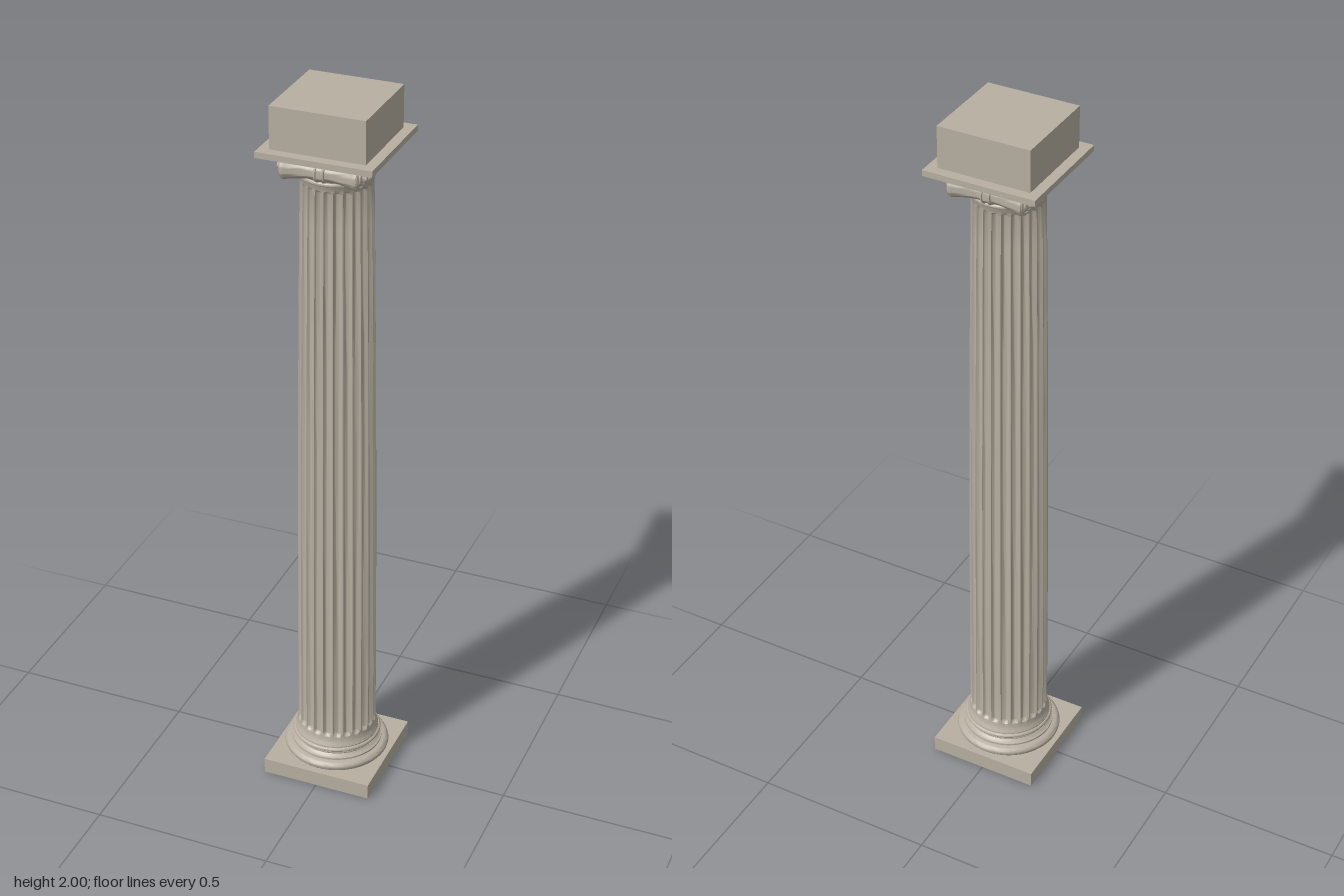
import * as THREE from 'three';
import { toCreasedNormals } from 'three/addons/utils/BufferGeometryUtils.js';

const stone = new THREE.MeshStandardMaterial({ color: 0xb7afa1 });
stone.name = 'stone';

function part(name, geometry, parent, x = 0, y = 0, z = 0) {
  const mesh = new THREE.Mesh(geometry, stone);
  mesh.name = name;
  mesh.position.set(x, y, z);
  parent.add(mesh);
  return mesh;
}

// Square slab standing on height y0
function slab(name, half, y0, y1, parent) {
  return part(name, new THREE.BoxGeometry(half * 2, y1 - y0, half * 2), parent, 0, (y0 + y1) / 2, 0);
}

// Turned solid from [radius, height] pairs
function turned(points, segments = 64) {
  const profile = points.map(([r, y]) => new THREE.Vector2(r, y));
  return toCreasedNormals(new THREE.LatheGeometry(profile, segments), 0.6);
}

// Half-round moulding as profile points
function roll(radius, y0, y1, bulge, steps = 8) {
  return Array.from({ length: steps + 1 }, (_, i) => {
    const a = Math.PI * i / steps;
    return [radius + bulge * Math.sin(a), (y0 + y1) / 2 - (y1 - y0) / 2 * Math.cos(a)];
  });
}

// Tapered shaft with round-ended flutes
function flutedShaft() {
  const flutes = 24, perFlute = 10, columns = flutes * perFlute;
  const low = 0.14, high = 1.785, halfWidth = 0.0108, depth = 0.0095;
  const rows = [0.112, 0.12, 0.13];
  const ends = [0, 0.15, 0.4, 0.7, 1];
  ends.forEach(e => rows.push(low + e * halfWidth));
  for (let i = 1; i < 16; i++) rows.push(low + (high - low) * i / 16);
  [...ends].reverse().forEach(e => rows.push(high - e * halfWidth));
  rows.push(1.793, 1.8);
  const radiusAt = y => {
    const t = (y - 0.11) / 1.69;
    return 0.109 - 0.004 * t - 0.013 * t * t
      + 0.008 * Math.max(0, 1 - (y - 0.112) / 0.025) ** 2
      + 0.005 * Math.max(0, 1 - (1.8 - y) / 0.02) ** 2;
  };
  const positions = [], index = [];
  rows.forEach((y, row) => {
    const v = Math.max(0, 1 - Math.min(y - low, high - y) / halfWidth);
    for (let c = 0; c <= columns; c++) {
      const k = c % perFlute;
      // The first step of each flute is the flat fillet
      const u = k === 0 ? 1 : -Math.cos(Math.PI * (k - 1) / (perFlute - 1));
      const middle = Math.floor(c / perFlute) + 0.5;
      const a = (middle + (k === 0 ? -0.5 : u * 0.39)) / flutes * Math.PI * 2;
      const fillet = k === 0 ? 0 : Math.sqrt(Math.max(0, 1 - u * u - v * v));
      const r = radiusAt(y) - depth * fillet;
      positions.push(Math.sin(a) * r, y, Math.cos(a) * r);
      if (row < rows.length - 1 && c < columns) {
        const p = row * (columns + 1) + c, q = p + columns + 1;
        index.push(p, p + 1, q, p + 1, q + 1, q);
      }
    }
  });
  const g = new THREE.BufferGeometry();
  g.setAttribute('position', new THREE.Float32BufferAttribute(positions, 3));
  g.setIndex(index);
  return toCreasedNormals(g, 0.7);
}

// Spiral ridge that climbs outward along +x; turn is 1 or -1
function spiral(turn) {
  const points = [];
  for (let i = 0; i <= 60; i++) {
    const t = i / 60, a = Math.PI / 2 + turn * t * Math.PI * 4.5;
    const r = 0.0275 * (1 - t) + 0.006 * t;
    points.push(new THREE.Vector3(0.098 + 0.012 * t, Math.sin(a) * r, Math.cos(a) * r));
  }
  return new THREE.TubeGeometry(new THREE.CatmullRomCurve3(points), 100, 0.0033, 6);
}

export function createModel() {
  const model = new THREE.Group();
  model.name = 'column';

  // Base
  slab('plinth', 0.156, 0, 0.045, model);
  part('baseMouldings', turned([
    [0, 0.045], ...roll(0.128, 0.045, 0.074, 0.018),
    [0.126, 0.074], [0.126, 0.079], [0.119, 0.083], [0.115, 0.088], [0.116, 0.093], [0.12, 0.095],
    ...roll(0.116, 0.096, 0.109, 0.007), [0.117, 0.109], [0.117, 0.113], [0, 0.113],
  ]), model);

  // Shaft
  part('shaft', flutedShaft(), model);

  // Capital
  const capital = new THREE.Group();
  capital.name = 'capital';
  model.add(capital);
  part('echinus', turned([
    [0, 1.799], ...roll(0.094, 1.799, 1.809, 0.004, 6),
    [0.094, 1.81], [0.1, 1.817], [0.105, 1.828], [0.106, 1.838], [0.102, 1.846], [0, 1.846],
  ]), capital);

  // Carved eggs and darts around the echinus
  const eggs = 24;
  for (let i = 0; i < eggs; i++) {
    const a = (i + 0.5) / eggs * Math.PI * 2;
    const egg = part('egg', new THREE.SphereGeometry(0.009, 10, 8), capital,
      Math.sin(a) * 0.103, 1.834, Math.cos(a) * 0.103);
    egg.scale.set(0.95, 1.2, 0.8);
    egg.rotation.y = a;
    const b = i / eggs * Math.PI * 2;
    const dart = part('dart', new THREE.ConeGeometry(0.003, 0.02, 4), capital,
      Math.sin(b) * 0.105, 1.833, Math.cos(b) * 0.105);
    dart.rotation.x = Math.PI;
  }

  // Cushion and raised channel borders between the scrolls
  part('cushion', new THREE.BoxGeometry(0.196, 0.02, 0.19), capital, 0, 1.856, 0);
  for (const side of [1, -1]) {
    for (const y of [1.849, 1.865]) {
      part('channelBorder', new THREE.BoxGeometry(0.007, 0.004, 0.195), capital, side * 0.1, y, 0);
    }
  }

  // Side bolsters with flared ends, a central band and scroll faces
  const half = [[0.031, 0.099], [0.032, 0.094], [0.03, 0.088], [0.027, 0.075], [0.023, 0.05],
    [0.021, 0.03], [0.021, 0.014], [0.025, 0.013], [0.027, 0.008], [0.024, 0.007]];
  const bolsterProfile = [[0, -0.099], ...half.map(([r, x]) => [r, -x]),
    ...[...half].reverse(), [0, 0.099]];
  for (const z of [-0.096, 0.096]) {
    const scroll = new THREE.Group();
    scroll.name = z > 0 ? 'frontScroll' : 'backScroll';
    scroll.position.set(0, 1.838, z);
    capital.add(scroll);
    part('bolster', turned(bolsterProfile, 32), scroll).rotation.z = -Math.PI / 2;
    for (const side of [1, -1]) {
      const volute = new THREE.Group();
      volute.name = 'volute';
      volute.rotation.y = side > 0 ? 0 : Math.PI;
      scroll.add(volute);
      part('spiral', spiral(-side * Math.sign(z)), volute);
      const core = part('voluteCore', turned([[0.025, 0], [0.015, 0.008], [0.008, 0.012], [0, 0.012]], 24),
        volute, 0.097);
      core.rotation.z = -Math.PI / 2;
      const eye = part('eye', new THREE.SphereGeometry(0.0075, 14, 10), volute, 0.112);
      eye.scale.x = 0.9;
    }
  }

  // Abacus and top block
  slab('abacusMoulding', 0.13, 1.864, 1.873, capital);
  slab('abacus', 0.152, 1.872, 1.888, capital);
  slab('topBlock', 0.125, 1.888, 2, model);
  return model;
}
